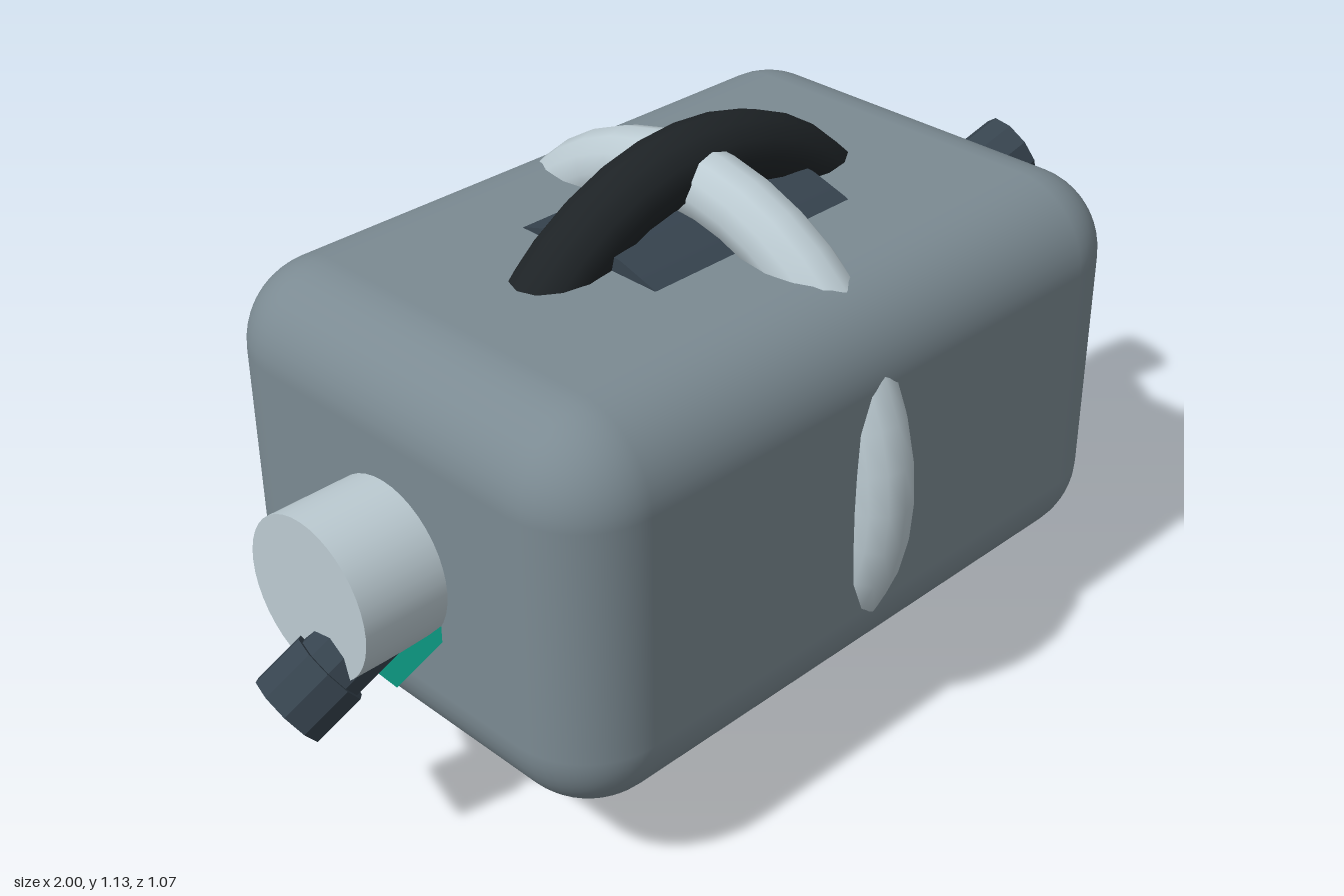
import * as THREE from 'three';
import { RoundedBoxGeometry } from 'three/addons/geometries/RoundedBoxGeometry.js';

const CENTER_Y = 0.573;
const mat = (color, extra = {}) => new THREE.MeshStandardMaterial({ color, ...extra });

const bodyGrey = mat(0x7b8a92);
const paleGrey = mat(0xbccbd2);
const nearBlack = mat(0x1e2326);
const slate = mat(0x36434e, { flatShading: true, side: THREE.DoubleSide });
const teal = mat(0x12c2a6);

function part(parent, name, geometry, material) {
  const mesh = new THREE.Mesh(geometry, material);
  mesh.name = name;
  parent.add(mesh);
  return mesh;
}

// Barrel whose local +y runs outward and whose tip sits at the group origin
function makeBarrel(name, tip, direction, open) {
  const barrel = new THREE.Group();
  barrel.name = name;
  const axis = new THREE.Vector3(...direction).normalize();
  // local x is the upper side for an upward barrel, the lower side for a downward one
  const up = new THREE.Vector3(0, Math.sign(axis.y), 0);
  up.addScaledVector(axis, -up.dot(axis)).normalize();
  const side = new THREE.Vector3().crossVectors(up, axis);
  barrel.quaternion.setFromRotationMatrix(new THREE.Matrix4().makeBasis(up, axis, side));
  barrel.position.set(...tip);

  part(barrel, 'barrelSleeve', new THREE.CylinderGeometry(0.075, 0.075, 0.1, 10, 1, open), slate)
    .position.y = -0.05;
  part(barrel, 'barrelTube', new THREE.CylinderGeometry(0.066, 0.066, 0.36, 10, 1, open), slate)
    .position.y = -0.24;
  // coloured cell riding along the tube
  part(barrel, 'energyCell', new THREE.BoxGeometry(0.055, 0.2, 0.1), teal)
    .position.set(0.066, -0.25, 0);
  return barrel;
}

export function createModel() {
  const model = new THREE.Group();
  model.name = 'ringedCanister';

  // Main housing
  part(model, 'housing', new RoundedBoxGeometry(1.43, 0.78, 0.95, 6, 0.16), bodyGrey)
    .position.y = CENTER_Y;

  // Two crossing rings that emerge through the housing
  part(model, 'lengthwiseRing', new THREE.TorusGeometry(0.495, 0.07, 12, 40), nearBlack)
    .position.y = CENTER_Y;
  const crossRing = part(model, 'crosswiseRing', new THREE.TorusGeometry(0.467, 0.068, 12, 40), paleGrey);
  crossRing.rotation.y = Math.PI / 2;
  crossRing.position.y = CENTER_Y;

  // Inner drum, just breaking the top and bottom
  const drum = part(model, 'innerDrum', new THREE.CylinderGeometry(0.425, 0.425, 0.49, 32), mat(0x36434e));
  drum.rotation.z = Math.PI / 2;
  drum.position.y = CENTER_Y;

  // Axle with a stub at each end
  const axle = part(model, 'axle', new THREE.CylinderGeometry(0.152, 0.152, 1.77, 40), paleGrey);
  axle.rotation.z = Math.PI / 2;
  axle.position.y = CENTER_Y;

  // Tilted barrels beside the axle stubs
  model.add(makeBarrel('leftBarrel', [0.965, 0.772, 0], [1, 0.47, 0.23], true));
  model.add(makeBarrel('rightBarrel', [-0.955, 0.385, 0.01], [-1, -0.75, -0.28], false));
  return model;
}
